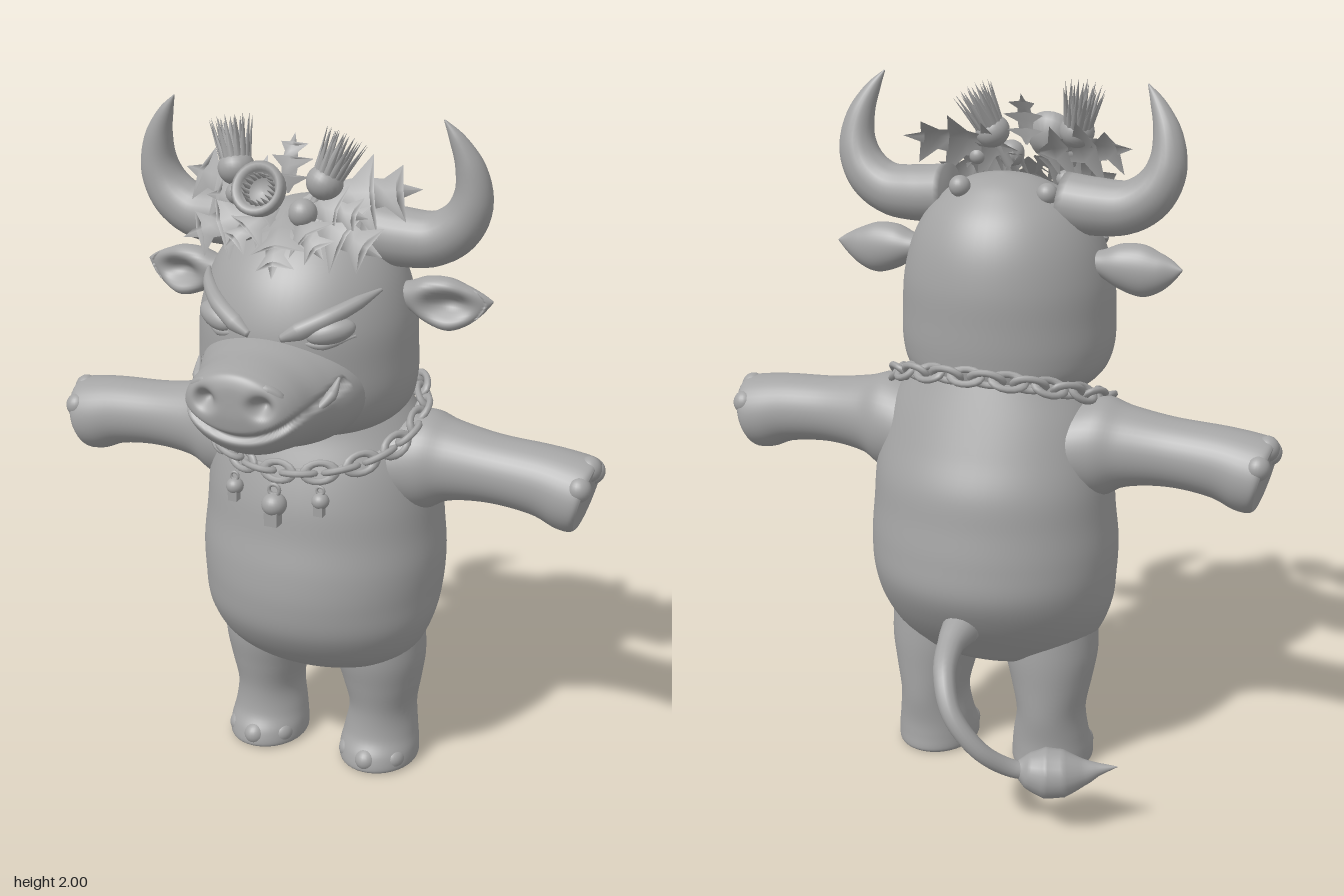
import * as THREE from 'three';

const V = (x, y, z) => new THREE.Vector3(x, y, z);
const clay = new THREE.MeshStandardMaterial({ color: 0xa4a4a4 });
clay.name = 'clay grey';
const leafClay = clay.clone();
leafClay.side = THREE.DoubleSide;

// Closed skin over rings of points (counterclockwise about the travel direction)
function loft(rings) {
  const n = rings[0].length, pos = [], idx = [];
  rings.forEach(r => r.forEach(p => pos.push(p.x, p.y, p.z)));
  for (let i = 0; i < rings.length - 1; i++) for (let j = 0; j < n; j++) {
    const a = i * n + j, b = i * n + (j + 1) % n;
    idx.push(a, b, b + n, a, b + n, a + n);
  }
  [0, rings.length - 1].forEach((k, end) => {
    const c = rings[k].reduce((s, p) => s.add(p), V(0, 0, 0)).divideScalar(n);
    const id = pos.push(c.x, c.y, c.z) / 3 - 1;
    for (let j = 0; j < n; j++) {
      const a = k * n + j, b = k * n + (j + 1) % n;
      idx.push(...(end ? [id, a, b] : [id, b, a]));
    }
  });
  const g = new THREE.BufferGeometry();
  g.setAttribute('position', new THREE.Float32BufferAttribute(pos, 3));
  g.setIndex(idx);
  g.computeVertexNormals();
  return g;
}

// Smoothly interpolates rows of numbers
function smooth(rows, steps) {
  const out = [], at = i => rows[Math.min(rows.length - 1, Math.max(0, i))];
  for (let i = 0; i < rows.length - 1; i++) for (let s = 0; s < steps; s++) {
    const t = s / steps;
    out.push(rows[i].map((b, k) => {
      const a = at(i - 1)[k], c = at(i + 1)[k], d = at(i + 2)[k];
      return b + 0.5 * t * (c - a + t * (2 * a - 5 * b + 4 * c - d + t * (3 * (b - c) + d - a)));
    }));
  }
  out.push(rows[rows.length - 1]);
  return out;
}

// Ellipses stacked on an axis; rows are [axis, uCentre, vCentre, uRadius, vRadius]
function stack(axis, rows, steps = 6, n = 40) {
  const place = { x: (t, u, v) => V(t, u, v), y: (t, u, v) => V(v, t, u), z: (t, u, v) => V(u, v, t) }[axis];
  return loft(smooth(rows, steps).map(([t, u, v, ru, rv]) => Array.from({ length: n }, (_, j) => {
    const a = j / n * Math.PI * 2;
    return place(t, u + ru * Math.cos(a), v + rv * Math.sin(a));
  })));
}

// Tapered tube; rows are [x, y, z, radius]
function sweep(rows, n = 16, segs = 36) {
  const curve = new THREE.CatmullRomCurve3(rows.map(r => V(r[0], r[1], r[2])));
  const f = curve.computeFrenetFrames(segs);
  return loft(f.tangents.map((_, i) => {
    const s = i / segs * (rows.length - 1), k = Math.min(rows.length - 2, Math.floor(s));
    const r = THREE.MathUtils.lerp(rows[k][3], rows[k + 1][3], s - k), c = curve.getPoint(i / segs);
    return Array.from({ length: n }, (_, j) => {
      const a = j / n * Math.PI * 2;
      return c.clone().addScaledVector(f.normals[i], r * Math.cos(a)).addScaledVector(f.binormals[i], r * Math.sin(a));
    });
  }));
}

// Moves every vertex by a rule
function bend(g, rule) {
  const p = g.attributes.position, v = V(0, 0, 0);
  for (let i = 0; i < p.count; i++) {
    rule(v.fromBufferAttribute(p, i));
    p.setXYZ(i, v.x, v.y, v.z);
  }
  g.computeVertexNormals();
  return g;
}

function mirror(g) {
  const m = g.clone().scale(-1, 1, 1), ix = m.index.array;
  for (let i = 0; i < ix.length; i += 3) [ix[i + 1], ix[i + 2]] = [ix[i + 2], ix[i + 1]];
  m.computeVertexNormals();
  return m;
}

const ball = (c, rx, ry = rx, rz = rx) => new THREE.SphereGeometry(1, 24, 16).scale(rx, ry, rz).translate(...c);

function add(parent, name, geo, mat = clay) {
  const m = new THREE.Mesh(geo, mat);
  m.name = name;
  parent.add(m);
  return m;
}
function addPair(parent, name, geo) {
  add(parent, name + 'Left', geo);
  add(parent, name + 'Right', mirror(geo));
}
function subgroup(parent, name) {
  const g = new THREE.Group();
  g.name = name;
  parent.add(g);
  return g;
}

// Spiny folded leaf from base to tip
function leaf(base, tip) {
  const rows = [[0, .02], [.14, .1], [.3, .34], [.27, .13], [.42, .15], [.6, .38], [.56, .14], [.68, .12], [.84, .25], [.78, .08], [1, 0]];
  const y = tip.clone().sub(base), L = y.length(), pos = [], idx = [];
  y.normalize();
  const x = y.clone().cross(V(0, .6, 1)).normalize(), z = x.clone().cross(y);
  rows.forEach(([t, w], i) => {
    [-w, 0, w].forEach(s => {
      const p = base.clone().addScaledVector(y, t * L).addScaledVector(x, s * L).addScaledVector(z, -Math.abs(s) * L * .35 + Math.sin(t * 3) * .02);
      pos.push(p.x, p.y, p.z);
    });
    if (i) for (let k = 0; k < 2; k++) {
      const a = (i - 1) * 3 + k;
      idx.push(a, a + 1, a + 4, a, a + 4, a + 3);
    }
  });
  const g = new THREE.BufferGeometry();
  g.setAttribute('position', new THREE.Float32BufferAttribute(pos, 3));
  g.setIndex(idx);
  g.computeVertexNormals();
  return g;
}

export function createModel() {
  const root = new THREE.Group();
  root.name = 'bull';

  add(root, 'body', stack('y', [[.325, -.04, 0, .02, .02], [.345, -.03, 0, .14, .2], [.4, -.02, 0, .21, .295], [.5, -.025, 0, .285, .345],
    [.6, -.04, 0, .32, .36], [.7, -.042, 0, .317, .365], [.8, -.045, 0, .3, .357], [.9, -.045, 0, .285, .35],
    [1, -.04, 0, .25, .335], [1.1, -.04, 0, .21, .3], [1.2, -.03, 0, .18, .24]], 6, 56));

  // Legs and arms end in flat soles with three toes each
  addPair(root, 'leg', stack('y', [[0, -.04, .185, .125, .108], [.012, -.037, .185, .138, .118], [.05, -.04, .185, .132, .118],
    [.1, -.053, .185, .118, .11], [.18, -.06, .187, .12, .1], [.27, -.053, .185, .13, .118], [.36, -.045, .18, .14, .137], [.46, -.04, .175, .14, .14]]));
  const slant = v => { v.x += (v.y - .97) * .24 * THREE.MathUtils.smoothstep(v.x, .55, .78); };
  addPair(root, 'arm', bend(stack('x', [[.2, .99, -.035, .13, .16], [.32, 1, -.035, .145, .14], [.4, 1.01, -.033, .115, .115], [.52, 1.008, -.03, .098, .1],
    [.65, .998, -.03, .1, .102], [.73, .98, -.03, .108, .11], [.775, .972, -.03, .106, .11], [.79, .97, -.03, .096, .1]]), slant));
  [-1, 0, 1].forEach(k => {
    const s = Math.sin(k * .95), c = Math.cos(k * .95);
    addPair(root, 'toe', ball([.185 + .085 * s, .037, -.035 + .1 * c], .036, .036, .042));
    addPair(root, 'finger', ball([.772 + .018 * c, .97 + .082 * c, -.03 + .085 * s], .034, .036, .036));
  });

  // Head
  const skull = [[1.09, .05, 0, .05, .05], [1.11, .05, 0, .14, .15], [1.14, .055, 0, .215, .23], [1.19, .06, 0, .265, .285], [1.26, .068, 0, .285, .307],
    [1.35, .07, 0, .29, .307], [1.45, .068, 0, .288, .3], [1.55, .06, 0, .262, .272], [1.63, .05, 0, .215, .227], [1.69, .04, 0, .15, .165], [1.73, .025, 0, .08, .09], [1.745, .02, 0, .004, .004]];
  add(root, 'head', stack('y', skull, 6, 56));
  add(root, 'muzzle', bend(stack('z', [[.15, 0, 1.28, .26, .17], [.28, 0, 1.28, .235, .167], [.36, 0, 1.283, .2, .152], [.42, 0, 1.282, .178, .14],
    [.48, 0, 1.285, .167, .128], [.52, 0, 1.295, .15, .11], [.545, 0, 1.31, .12, .085], [.558, 0, 1.322, .07, .045], [.56, 0, 1.325, .004, .003]], 10, 96), v => {
    if (v.z < .3) return;
    const smile = Math.exp(-(((v.y - 1.222 - 2.4 * v.x * v.x) / .011) ** 2));
    const dent = Math.exp(-(((Math.abs(v.x) - .08) / .026) ** 2) - ((v.y - 1.32) / .024) ** 2);
    v.z -= .022 * smile + (v.z > .45 ? .045 * dent : 0);
    v.x *= 1 - .07 * smile;
  }));
  addPair(root, 'nostrilRim', sweep([[.045, 1.345, .535, .008], [.08, 1.365, .53, .016], [.118, 1.345, .515, .016], [.128, 1.31, .505, .008]], 10, 16));
  addPair(root, 'cheekFold', sweep([[.165, 1.27, .41, .006], [.195, 1.31, .36, .016], [.205, 1.35, .33, .004]], 10, 14));
  const eye = new THREE.SphereGeometry(1, 24, 16).scale(.068, .033, .035).rotateZ(.22).rotateY(.5);
  addPair(root, 'eye', eye.translate(.165, 1.46, .298));
  addPair(root, 'brow', sweep([[.045, 1.44, .352, .01], [.09, 1.462, .338, .025], [.16, 1.497, .3, .024], [.22, 1.53, .235, .018], [.255, 1.55, .17, .005]], 12));
  addPair(root, 'lowerLid', sweep([[.09, 1.435, .335, .006], [.15, 1.425, .318, .012], [.22, 1.445, .26, .005]], 10, 14));

  // Cupped ears with pointed tips
  addPair(root, 'ear', bend(stack('x', [[.25, 1.51, .04, .025, .03], [.29, 1.505, .045, .04, .045], [.34, 1.5, .05, .064, .058], [.4, 1.493, .05, .073, .056],
    [.45, 1.493, .045, .056, .042], [.49, 1.5, .038, .03, .02], [.518, 1.508, .03, .003, .003]], 8), v => {
    if (v.z > .05) v.z -= .075 * Math.exp(-(((v.x - .4) / .065) ** 2) - ((v.y - 1.492) / .036) ** 2);
  }));
  addPair(root, 'horn', sweep([[.17, 1.67, .045, .082], [.27, 1.662, .045, .08], [.36, 1.668, .045, .074], [.43, 1.715, .048, .066],
    [.463, 1.79, .055, .054], [.453, 1.88, .068, .038], [.42, 1.95, .082, .02], [.39, 1.995, .092, .002]], 24));

  // Tail and tuft
  add(root, 'tail', sweep([[0, .5, -.3, .055], [-.005, .485, -.39, .037], [-.03, .445, -.49, .031], [-.075, .36, -.545, .028],
    [-.15, .265, -.54, .026], [-.22, .2, -.49, .025], [-.28, .18, -.455, .025]]));
  add(root, 'tailTuft', sweep([[-.235, .195, -.475, .018], [-.265, .187, -.462, .05], [-.31, .18, -.447, .071], [-.36, .18, -.43, .066],
    [-.41, .185, -.412, .038], [-.45, .195, -.4, .018], [-.5, .205, -.385, .001]], 20));

  // Chain necklace
  const chain = subgroup(root, 'chain'), link = new THREE.TorusGeometry(.026, .0095, 8, 16).scale(1.6, 1, 1), count = 32;
  for (let i = 0; i < count; i++) {
    const a = i / count * Math.PI * 2, s = Math.sin(a), c = Math.cos(a);
    const t = V(.3 * c, .1 * s, -.268 * s).normalize(), nrm = V(0, 1, .37).normalize();
    const side = t.clone().cross(nrm).normalize(), m = add(chain, 'chainLink', link);
    m.quaternion.setFromRotationMatrix(new THREE.Matrix4().makeBasis(t, side.clone().cross(t), side));
    m.rotateX(i % 2 ? .95 : -.6);
    m.position.set(.305 * s, 1.13 - .1 * c, .012 + .268 * c);
  }
  // Little skull charms
  [[-.13, .965, .285, .8], [0, .94, .305, 1.15], [.13, .965, .285, .8]].forEach(([x, y, z, k]) => {
    const charm = subgroup(root, 'charm');
    add(charm, 'charmSkull', ball([0, 0, 0], .031, .029, .031));
    add(charm, 'charmJaw', new THREE.BoxGeometry(.034, .034, .03).translate(0, -.033, .008));
    add(charm, 'charmRing', new THREE.TorusGeometry(.014, .005, 8, 12).translate(0, .038, 0));
    charm.position.set(x, y, z);
    charm.scale.setScalar(k);
  });

  // Flower crown
  const crown = subgroup(root, 'flowerCrown'), heart = V(0, 1.77, .21);
  [[-.34, 1.81, .12], [-.27, 1.66, .28], [-.12, 1.66, .34], [.04, 1.61, .39], [.16, 1.66, .33], [.29, 1.66, .25], [.34, 1.81, .1],
    [0, 1.94, .15], [.24, 1.75, .22], [-.24, 1.76, .2]].forEach(p => {
    const tip = V(...p);
    add(crown, 'leaf', leaf(heart.clone().lerp(tip, .12), tip), leafClay);
  });
  [[[-.155, 1.84, .19], [-.19, 1.97, .15]], [[.1, 1.825, .19], [.155, 1.96, .15]]].forEach(([a, b]) => {
    const thistle = subgroup(crown, 'thistle');
    add(thistle, 'thistleStem', new THREE.CylinderGeometry(.014, .014, .1, 10).translate(0, -.06, 0));
    add(thistle, 'thistleBulb', ball([0, 0, 0], .05, .046, .05));
    for (let i = 0; i < 30; i++) {
      const outer = i % 2, petal = new THREE.ConeGeometry(.013, outer ? .12 : .105, 5).scale(1, 1, .5);
      petal.translate(0, .06, outer ? .036 : .022).rotateX(outer ? .2 : .12).rotateY(i / 30 * Math.PI * 2);
      add(thistle, 'thistlePetal', petal.translate(0, .025, 0));
    }
    thistle.position.set(...a);
    thistle.quaternion.setFromUnitVectors(V(0, 1, 0), V(...b).sub(V(...a)).normalize());
  });
  const rose = subgroup(crown, 'openFlower');
  add(rose, 'flowerCup', new THREE.LatheGeometry([[0, -.06], [.045, -.05], [.07, -.015], [.074, .015], [.062, .025], [.05, .01], [.035, -.02], [0, -.025]]
    .map(p => new THREE.Vector2(...p)), 28), leafClay);
  for (let i = 0; i < 18; i++)
    add(rose, 'flowerThread', new THREE.ConeGeometry(.009, .06, 5).translate(0, 0, .04).rotateX(-.1).rotateY(i / 18 * Math.PI * 2));
  rose.position.set(-.05, 1.81, .27);
  rose.quaternion.setFromUnitVectors(V(0, 1, 0), V(0, .55, 1).normalize());
  [[-.1, 1.69, .25, .026], [.065, 1.755, .25, .038], [-.14, 1.78, .22, .03], [.15, 1.75, .2, .025], [.09, 1.715, -.075, .03], [-.145, 1.7, -.02, .03]]
    .forEach(([x, y, z, r]) => add(crown, 'berry', ball([x, y, z], r)));
  return root;
}
